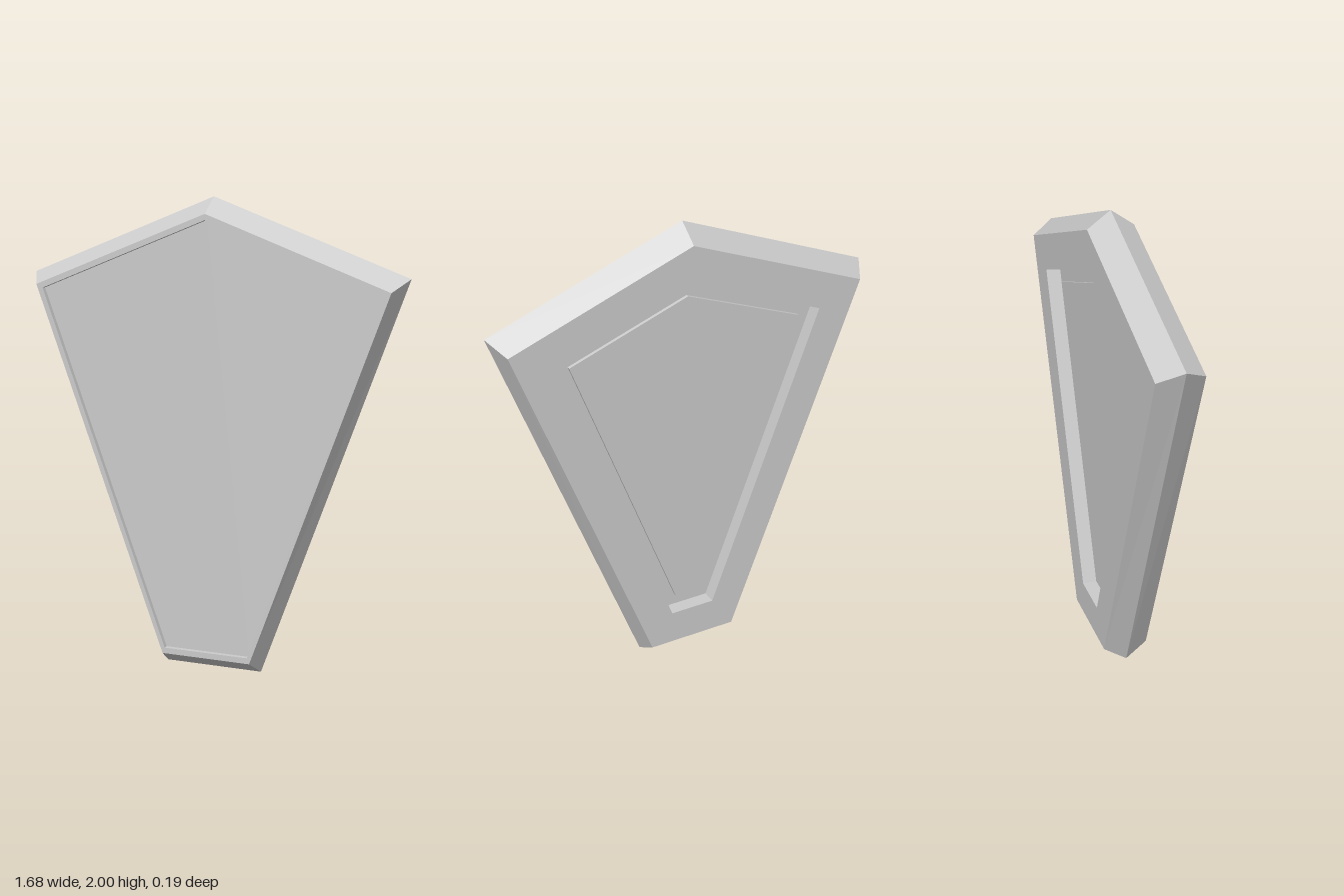
import * as THREE from 'three';

// Five-sided kite outline at depth z: apex height, shoulder (x, y), foot (x, y)
function kite(z, top, sx, sy, fx, fy) {
  return [[0, top, z], [-sx, sy, z], [-fx, fy, z], [fx, fy, z], [sx, sy, z]];
}

// Joins consecutive outlines (ordered front to back) with flat strips
function strips(rings) {
  const out = [];
  for (let r = 0; r < rings.length - 1; r++) {
    const a = rings[r], b = rings[r + 1];
    for (let i = 0; i < a.length; i++) {
      const j = (i + 1) % a.length;
      out.push(a[i], b[i], b[j], a[i], b[j], a[j]);
    }
  }
  return out;
}

// Flat panel filling one outline, facing the front or the back
function panel(ring, facesBack = false) {
  const out = [];
  const r = facesBack ? [...ring].reverse() : ring;
  for (let i = 1; i < r.length - 1; i++) out.push(r[0], r[i], r[i + 1]);
  return out;
}

export function createModel() {
  const group = new THREE.Group();
  group.name = 'shield';
  const material = new THREE.MeshStandardMaterial({ color: 0xcccccc, flatShading: true });

  const add = (name, triangles) => {
    const geometry = new THREE.BufferGeometry();
    geometry.setAttribute('position', new THREE.Float32BufferAttribute(triangles.flat(), 3));
    geometry.computeVertexNormals();
    const mesh = new THREE.Mesh(geometry, material);
    mesh.name = name;
    group.add(mesh);
  };

  // Outlines from the front panel around the edge to the back panel
  const frontFloor = kite(0.075, 1.905, 0.755, 1.615, 0.19, 0.085);
  const frontLip = kite(0.097, 1.905, 0.755, 1.615, 0.19, 0.085);
  const frontEdge = kite(0.097, 1.93, 0.785, 1.63, 0.2, 0.06);
  const ridge = kite(0, 2, 0.838, 1.68, 0.217, 0);
  const backEdge = kite(-0.097, 1.93, 0.785, 1.63, 0.2, 0.06);
  const backLip = kite(-0.097, 1.77, 0.59, 1.54, 0.1, 0.213);
  const backFloor = kite(-0.035, 1.77, 0.59, 1.54, 0.1, 0.213);
  const raisedFoot = kite(-0.035, 1.7, 0.52, 1.505, 0.06, 0.268);
  const raisedTop = kite(-0.05, 1.7, 0.52, 1.505, 0.06, 0.268);

  // Shallow sunken front and its narrow border
  add('frontPanel', panel(frontFloor));
  add('frontBorder', strips([frontFloor, frontLip, frontEdge]));

  // Bevelled outer edge meeting at a central ridge
  add('bevelledEdge', strips([frontEdge, ridge, backEdge]));

  // Wide back frame around a recess with a slightly raised panel
  add('backFrame', strips([backEdge, backLip]));
  add('backRecess', strips([backLip, backFloor, raisedFoot]));
  add('backPanel', [...strips([raisedFoot, raisedTop]), ...panel(raisedTop, true)]);

  return group;
}
